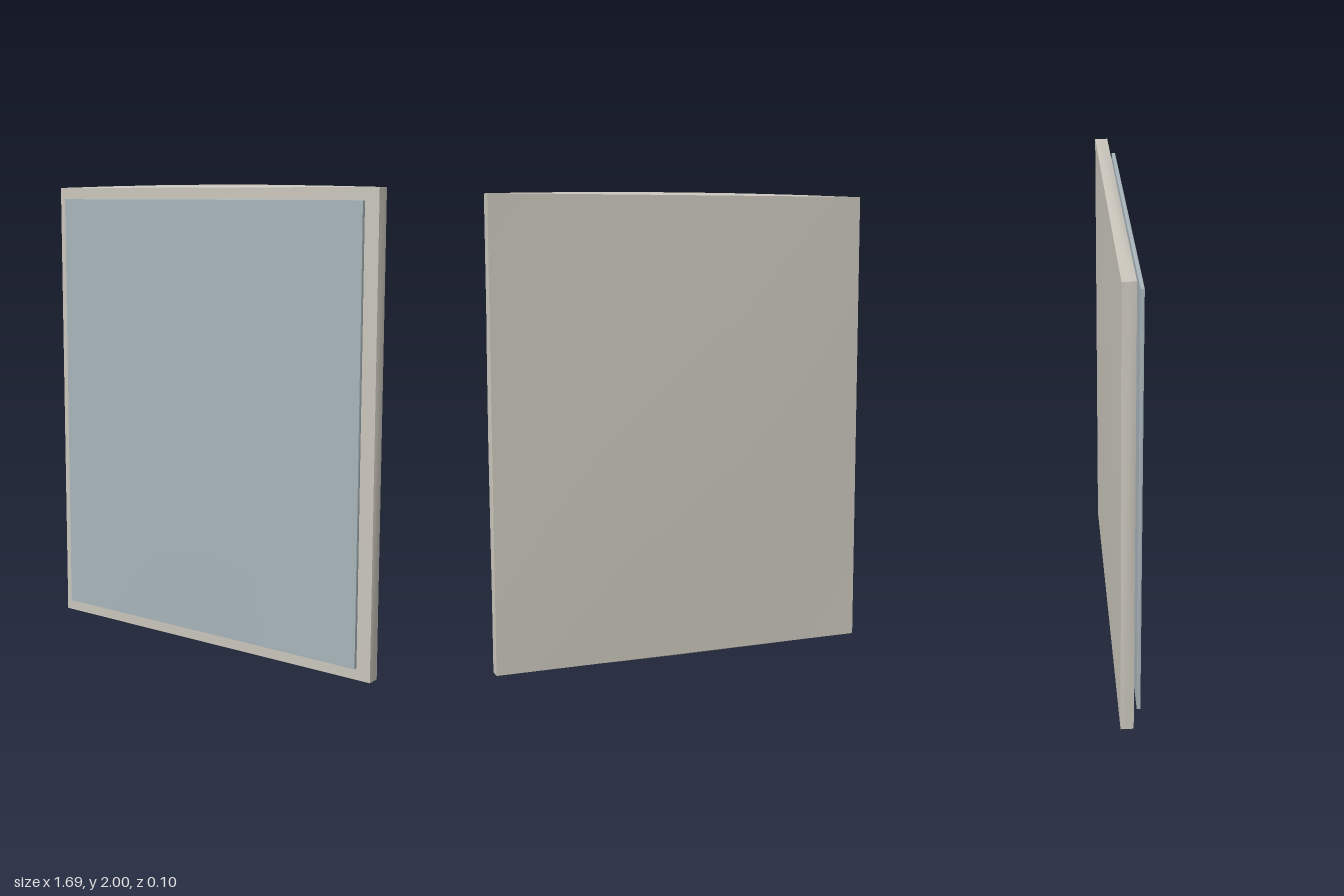
import * as THREE from 'three';

// Box whose six faces swell outward slightly, while its edges stay straight
function pillowBox(size, bulge, segments) {
  const geometry = new THREE.BoxGeometry(...size, ...segments);
  const position = geometry.attributes.position;
  const normal = geometry.attributes.normal;
  const half = size.map((s) => s / 2);
  for (let i = 0; i < position.count; i++) {
    const p = [position.getX(i), position.getY(i), position.getZ(i)];
    const n = [normal.getX(i), normal.getY(i), normal.getZ(i)];
    let swell = 1;
    for (let a = 0; a < 3; a++) {
      if (Math.abs(n[a]) < 0.5) swell *= 1 - (p[a] / half[a]) ** 2;
    }
    position.setXYZ(i, ...p.map((v, a) => v + n[a] * bulge[a] * swell));
  }
  geometry.computeVertexNormals();
  return geometry;
}

export function createModel() {
  const model = new THREE.Group();
  const frameGrey = new THREE.MeshStandardMaterial({ color: 0xcac6bc });
  frameGrey.name = 'warm grey';
  const panelBlue = new THREE.MeshStandardMaterial({ color: 0xa8b5bb });
  panelBlue.name = 'pale blue grey';

  // Backing board
  const board = new THREE.Mesh(
    pillowBox([1.67, 1.976, 0.054], [0.009, 0.012, 0.011], [6, 6, 2]), frameGrey);
  board.name = 'backingBoard';
  board.position.set(0, 1, -0.013);
  model.add(board);

  // Thin panel standing just clear of the board
  const panel = new THREE.Mesh(
    pillowBox([1.562, 1.87, 0.015], [0.003, 0.003, 0.004], [6, 6, 2]), panelBlue);
  panel.name = 'frontPanel';
  panel.position.set(0, 1.003, 0.038);
  model.add(panel);

  return model;
}
